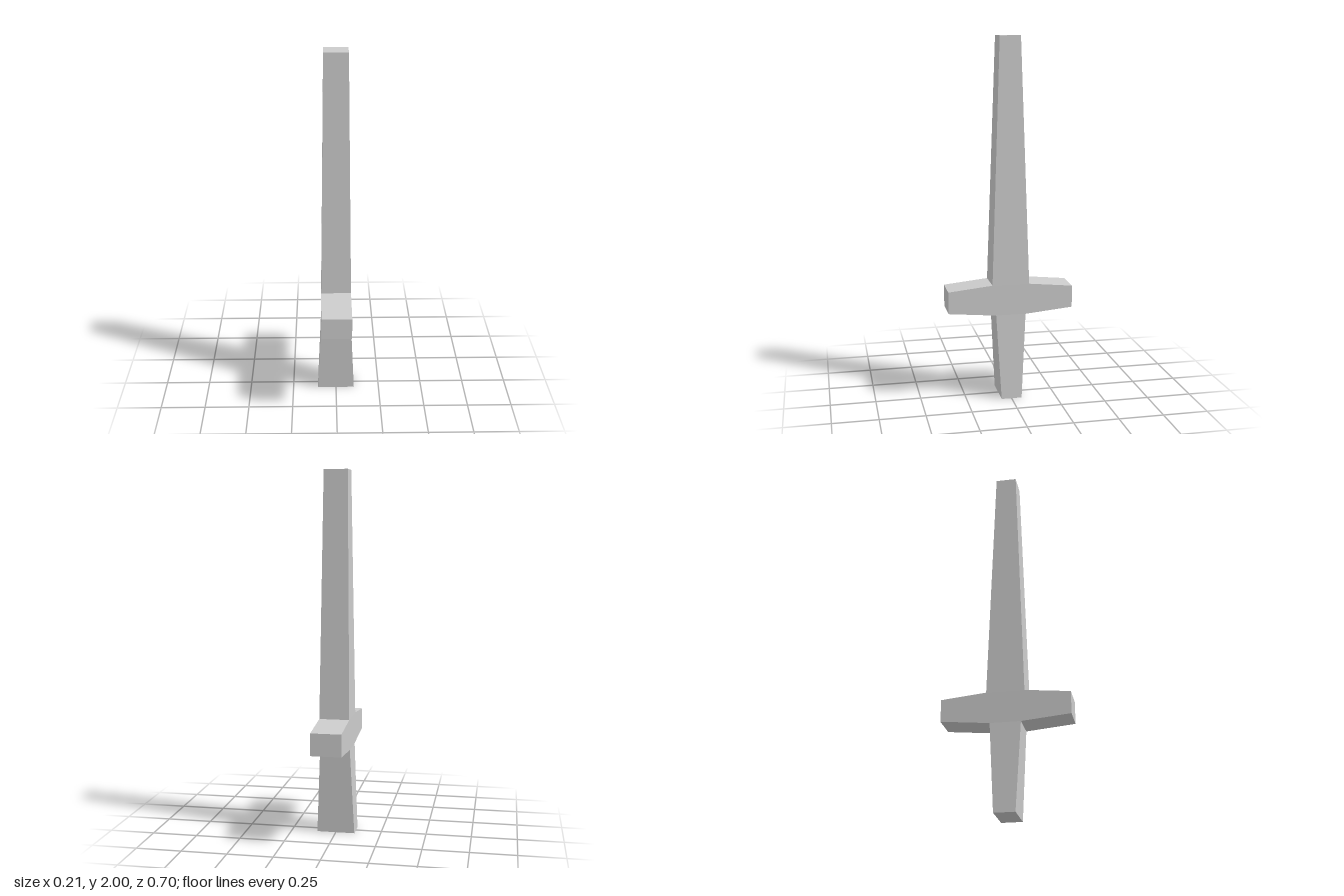
import * as THREE from 'three';

const material = new THREE.MeshStandardMaterial({ color: 0xcccccc, flatShading: true });

// Half of a side profile as [z, y] points, bottom to top, mirrored in z and
// extruded across x; the half thickness goes from wBottom to wTop with height.
function part(name, half, wBottom, wTop) {
  const mirrored = half.map(([z, y]) => [-z, y]).reverse();
  const outline = [...half, ...mirrored].map(([z, y]) => new THREE.Vector2(z, y));
  const geometry = new THREE.ExtrudeGeometry(new THREE.Shape(outline), { depth: 2, bevelEnabled: false });
  geometry.translate(0, 0, -1).rotateY(Math.PI / 2);

  const y0 = half[0][1];
  const y1 = half[half.length - 1][1];
  const pos = geometry.attributes.position;
  for (let i = 0; i < pos.count; i++) {
    const t = (pos.getY(i) - y0) / (y1 - y0);
    pos.setX(i, pos.getX(i) * THREE.MathUtils.lerp(wBottom, wTop, t));
  }
  geometry.computeVertexNormals();

  const mesh = new THREE.Mesh(geometry, material);
  mesh.name = name;
  return mesh;
}

export function createModel() {
  const model = new THREE.Group();
  model.name = 'sword';
  model.add(
    // grip, flaring across x towards its foot
    part('grip', [[0.057, 0], [0.083, 0.482]], 0.105, 0.083),
    // crossguard with tapering arms to front and back
    part('crossguard', [[0.083, 0.482], [0.348, 0.507], [0.348, 0.629], [0.103, 0.654]], 0.083, 0.083),
    // blade, tapering to a blunt square tip
    part('blade', [[0.103, 0.654], [0.057, 2]], 0.083, 0.065),
  );
  return model;
}
